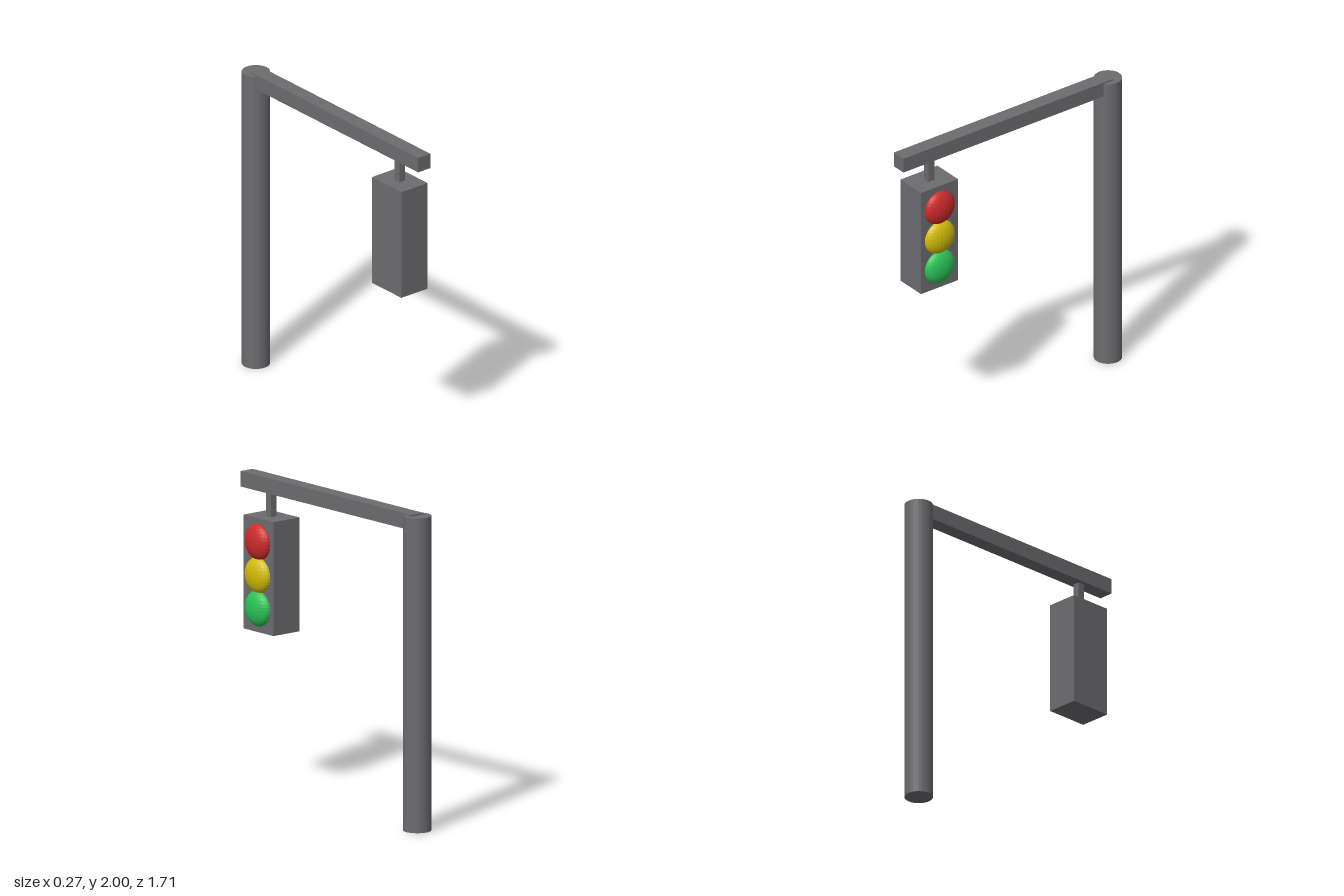
import * as THREE from 'three';

const material = (color) => new THREE.MeshStandardMaterial({ color, flatShading: true });

export function createModel() {
  const model = new THREE.Group();
  const grey = material(0x6c6c70);
  const centreX = -0.031;

  const add = (parent, name, geometry, mat, x, y, z) => {
    const mesh = new THREE.Mesh(geometry, mat);
    mesh.name = name;
    mesh.position.set(x, y, z);
    parent.add(mesh);
    return mesh;
  };

  // Upright pole and the arm that reaches forward from its axis
  add(model, 'pole', new THREE.CylinderGeometry(0.088, 0.088, 1.99, 32), grey, centreX, 0.995, -0.768);
  add(model, 'arm', new THREE.BoxGeometry(0.098, 0.098, 1.624), grey, centreX, 1.951, 0.044);

  // Signal head hung below the arm
  const signal = new THREE.Group();
  signal.name = 'signalHead';
  model.add(signal);
  add(signal, 'hanger', new THREE.BoxGeometry(0.046, 0.17, 0.046), grey, centreX, 1.825, 0.62);
  add(signal, 'housing', new THREE.BoxGeometry(0.21, 0.72, 0.286), grey, centreX, 1.389, 0.619);

  // Flattened domes on the left face
  const lampGeometry = new THREE.SphereGeometry(0.113, 24, 16);
  lampGeometry.scale(0.52, 1, 1);
  [['redLamp', 0xcc2a2a], ['yellowLamp', 0xd2bb08], ['greenLamp', 0x2cc257]].forEach(([name, color], i) => {
    add(signal, name, lampGeometry, material(color), 0.073, 1.6 - i * 0.21, 0.62);
  });

  return model;
}
